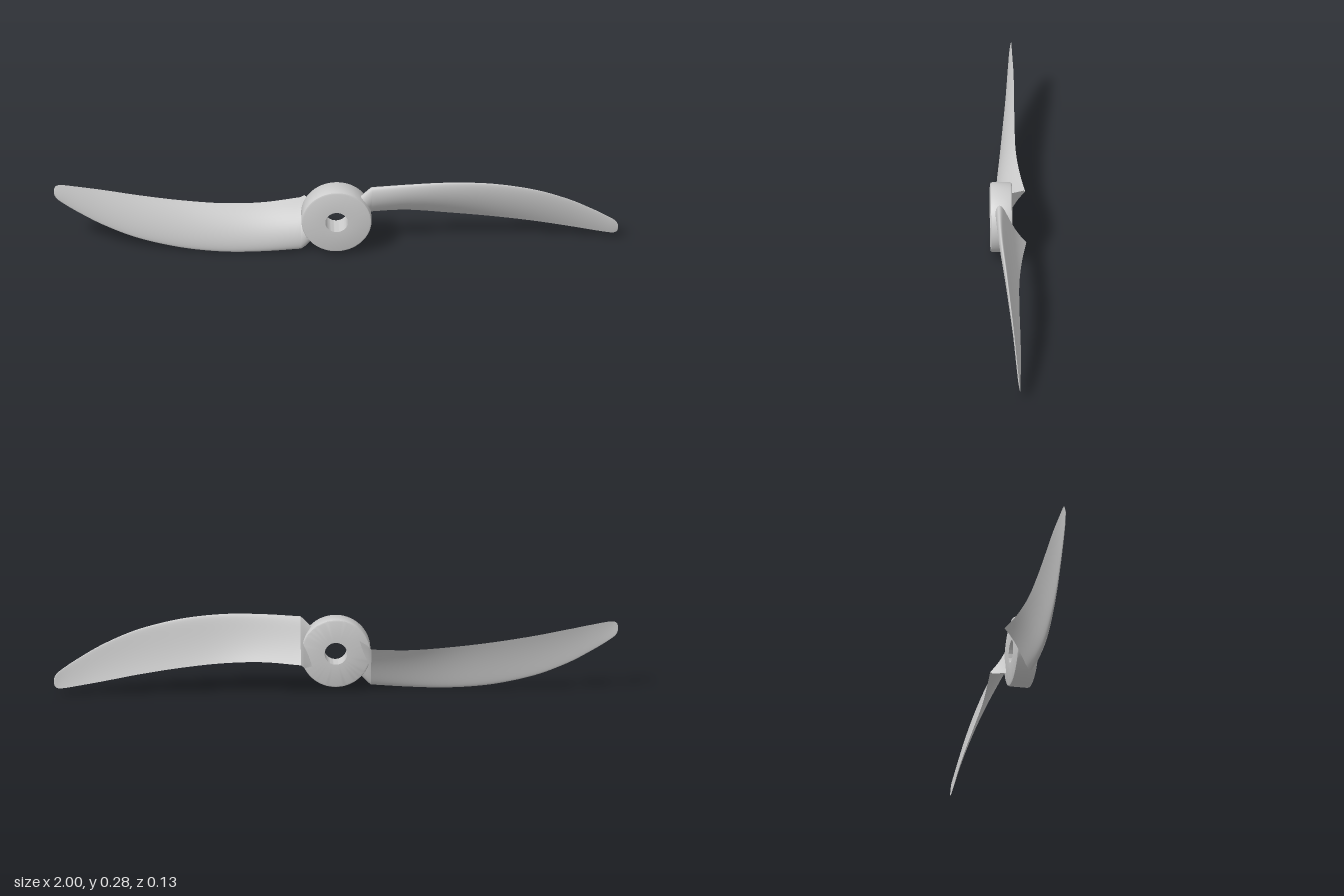
import * as THREE from 'three';
import { toCreasedNormals } from 'three/addons/utils/BufferGeometryUtils.js';

const V = (x, y, z) => new THREE.Vector3(x, y, z);
const HUB_Y = 0.138;

// Stations along the blade: x, leading y, z, trailing y, z, camber, half thickness
const BLADE = [
  [0.125, 0.263, 0.035, 0.110, -0.064, 0.021, 0.022],
  [0.26, 0.273, 0.033, 0.118, -0.047, 0.016, 0.016],
  [0.40, 0.276, 0.027, 0.112, -0.035, 0.012, 0.012],
  [0.55, 0.263, 0.016, 0.096, -0.033, 0.009, 0.009],
  [0.70, 0.229, 0.004, 0.073, -0.034, 0.007, 0.006],
  [0.82, 0.181, -0.007, 0.050, -0.034, 0.005, 0.004],
  [0.91, 0.131, -0.015, 0.033, -0.031, 0.003, 0.003],
  [0.97, 0.092, -0.021, 0.023, -0.029, 0.002, 0.002],
  [0.992, 0.073, -0.024, 0.026, -0.028, 0.001, 0.0015],
  [1.0, 0.055, -0.025, 0.040, -0.027, 0.0005, 0.001],
];

// Short transition from inside the hub out to the blade root
const STUB = [
  [0.06, 0.205, 0.030, 0.095, -0.005, 0.012, 0.014],
  [0.085, 0.225, 0.032, 0.092, -0.016, 0.014, 0.016],
  [0.112, 0.253, 0.035, 0.098, -0.058, 0.020, 0.020],
  BLADE[0],
];

// Cambered airfoil: trailing edge, over the back, round the nose, along the front
function section([x, ly, lz, ty, tz, camber, thick], n = 18) {
  const ring = [];
  const dy = ty - ly, dz = tz - lz, len = Math.hypot(dy, dz);
  for (let i = -n; i <= n; i++) {
    const u = Math.abs(i) / n, s = u * u;
    const h = camber * 4 * s * (1 - s) + Math.sign(i) * thick * 2.6 * u * (1 - s);
    ring.push(V(x, ly + dy * s + (dz / len) * h - HUB_Y, lz + dz * s - (dy / len) * h));
  }
  return ring;
}

// Skin a list of equal-length open rings
function loft(rings) {
  const m = rings[0].length, index = [];
  for (let i = 0; i < rings.length - 1; i++) {
    for (let j = 0; j < m - 1; j++) {
      const a = i * m + j, b = a + m;
      index.push(a, a + 1, b, a + 1, b + 1, b);
    }
  }
  const geo = new THREE.BufferGeometry().setFromPoints(rings.flat());
  geo.setIndex(index);
  geo.computeVertexNormals();
  return geo;
}

// Smooth the stations with matching curves so x agrees in all of them
function smoothStations(rows, steps) {
  const curve = (a, b) => new THREE.CatmullRomCurve3(
    rows.map(r => V(r[0], r[a], r[b])), false, 'catmullrom', 0.5);
  const lead = curve(1, 2), trail = curve(3, 4), shape = curve(5, 6);
  return Array.from({ length: steps + 1 }, (_, i) => {
    const l = lead.getPoint(i / steps), t = trail.getPoint(i / steps), s = shape.getPoint(i / steps);
    return [l.x, l.y, l.z, t.y, t.z, s.y, s.z];
  });
}

export function createModel() {
  const group = new THREE.Group();
  const mat = new THREE.MeshStandardMaterial({ color: 0xcccccc, side: THREE.DoubleSide });
  const add = (parent, name, geo) => {
    const mesh = new THREE.Mesh(geo, mat);
    mesh.name = name;
    parent.add(mesh);
  };

  // Hub with softened rims and a shaft hole
  const R = 0.124, r = 0.04, z0 = -0.015, z1 = 0.062, b = 0.007;
  const profile = [[r, z0], [R - b, z0], [R - b * 0.3, z0 + b * 0.3], [R, z0 + b],
    [R, z1 - b], [R - b * 0.3, z1 - b * 0.3], [R - b, z1], [r, z1], [r, z0]];
  const hubGeo = new THREE.LatheGeometry(profile.map(p => new THREE.Vector2(...p)), 72);
  hubGeo.rotateX(Math.PI / 2);
  add(group, 'hub', toCreasedNormals(hubGeo, 0.6));

  // Two identical blades half a turn apart
  const rings = smoothStations(BLADE, 72).map(s => section(s));
  const last = rings[rings.length - 1];
  const tip = last[0].clone().lerp(last[18], 0.5);
  rings.push(last.map(() => tip.clone()));
  const bladeGeo = loft(rings);
  const stubGeo = loft(STUB.map(s => section(s)));
  ['leftBlade', 'rightBlade'].forEach((name, i) => {
    const blade = new THREE.Group();
    blade.name = name;
    blade.rotation.z = i * Math.PI;
    add(blade, 'bladeSurface', bladeGeo);
    add(blade, 'bladeRoot', stubGeo);
    group.add(blade);
  });

  group.children.forEach(c => { c.position.y = HUB_Y; });
  return group;
}
